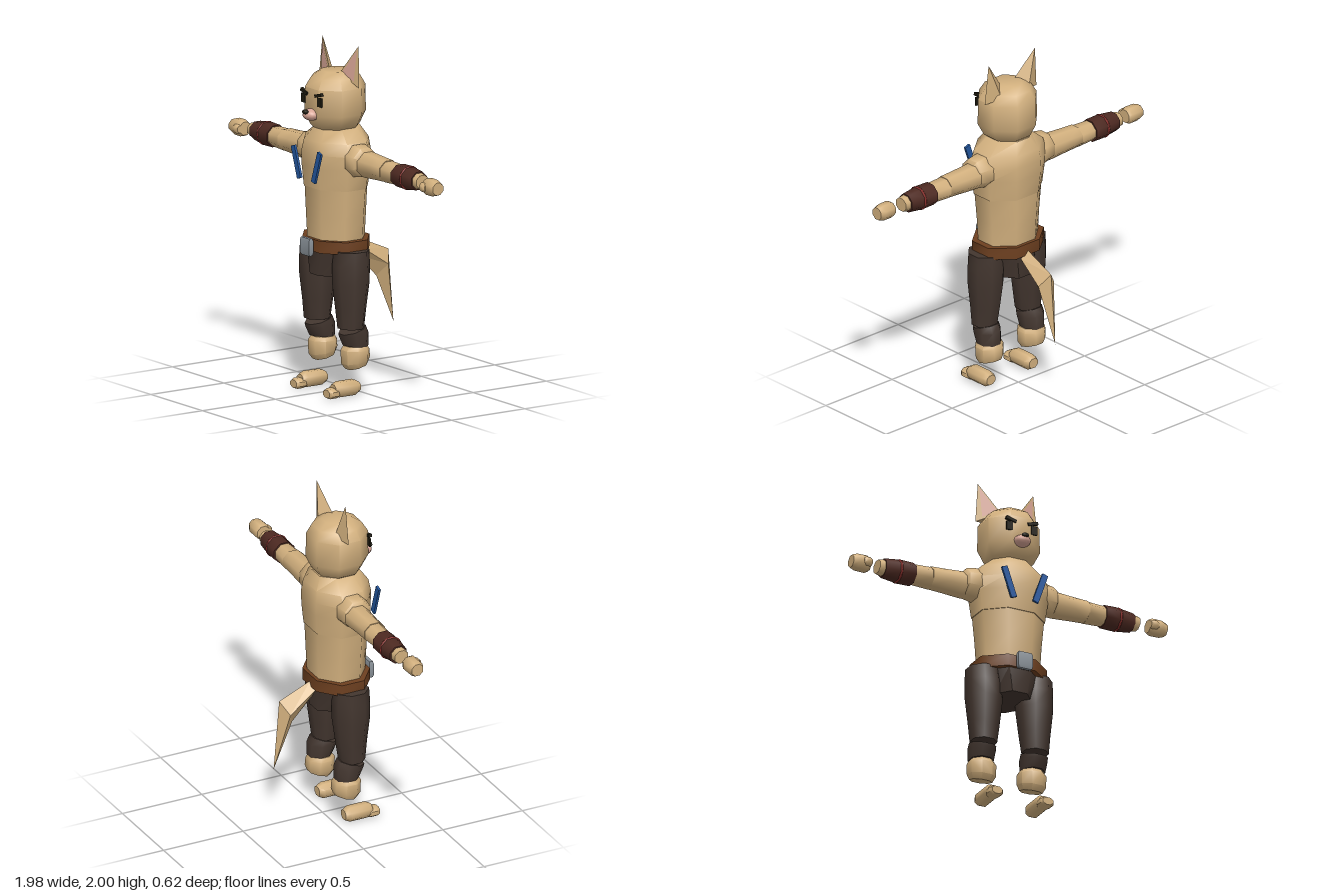
import * as THREE from 'three';
import { toCreasedNormals } from 'three/addons/utils/BufferGeometryUtils.js';

const material = (name, color) => {
  const m = new THREE.MeshStandardMaterial({ color });
  m.name = name;
  return m;
};

// Capped octagonal loft along y; ring = [y, cx, cz, rx, rz, tilt]
function loft(rings, sides = 8) {
  const pos = [], idx = [], k = 1 / Math.cos(Math.PI / sides);
  for (const [y, cx, cz, rx, rz, tilt = 0] of rings) {
    for (let j = 0; j < sides; j++) {
      const a = ((j + 0.5) / sides) * Math.PI * 2;
      const dz = Math.sin(a) * rz * k;
      pos.push(cx + Math.cos(a) * rx * k, y + tilt * dz, cz + dz);
    }
  }
  const top = (rings.length - 1) * sides;
  for (let r = 0; r < top; r += sides) {
    for (let j = 0; j < sides; j++) {
      const n = (j + 1) % sides;
      idx.push(r + j, r + sides + j, r + n, r + n, r + sides + j, r + sides + n);
    }
  }
  for (let j = 1; j < sides - 1; j++) idx.push(0, j, j + 1, top, top + j + 1, top + j);
  const g = new THREE.BufferGeometry();
  g.setAttribute('position', new THREE.Float32BufferAttribute(pos, 3));
  g.setIndex(idx);
  return toCreasedNormals(g, 0.9);
}

// Flat-faced geometry from a list of triangles
function facets(tris) {
  const g = new THREE.BufferGeometry();
  g.setAttribute('position', new THREE.Float32BufferAttribute(tris.flat(2), 3));
  g.computeVertexNormals();
  return g;
}

// Copy reflected in x, with corner order kept outward
function mirrored(geo) {
  const g = geo.index ? geo.toNonIndexed() : geo.clone();
  for (const key of ['position', 'normal']) {
    const a = g.attributes[key], v = [];
    for (let i = 0; i < a.count; i += 3) {
      for (const c of [i, i + 2, i + 1]) v.push(-a.getX(c), a.getY(c), a.getZ(c));
    }
    g.setAttribute(key, new THREE.Float32BufferAttribute(v, 3));
  }
  return g;
}

export function createModel() {
  const model = new THREE.Group();
  model.name = 'foxFigure';
  const fur = material('tan fur', 0xd2b07e);
  const pants = material('dark trousers', 0x43362f);
  const leather = material('brown leather', 0x6e4020);
  const steel = material('grey metal', 0x8a9299);
  const blue = material('blue strap', 0x2458a0);
  const wrap = material('maroon wrap', 0x4e2a22);
  const red = material('red cord', 0x8a302c);
  const pink = material('pink skin', 0xd8a596);
  const black = material('dark features', 0x1e1b10);

  const add = (name, geo, mat) => {
    const m = new THREE.Mesh(geo, mat);
    m.name = name;
    model.add(m);
  };
  const pair = (name, geo, mat) => {
    add(name + 'Left', geo, mat);
    add(name + 'Right', mirrored(geo), mat);
  };

  // Head and trunk
  add('head', loft([
    [1.5, 0, 0.09, 0.095, 0.1], [1.53, 0, 0.09, 0.13, 0.13], [1.6, 0, 0.092, 0.163, 0.163],
    [1.75, 0, 0.092, 0.16, 0.16], [1.805, 0, 0.09, 0.128, 0.13], [1.84, 0, 0.088, 0.075, 0.08],
  ]), fur);
  add('chest', loft([
    [1.18, 0, 0.086, 0.198, 0.162], [1.3, 0, 0.086, 0.215, 0.172], [1.38, 0, 0.086, 0.222, 0.173],
    [1.45, 0, 0.084, 0.2, 0.163], [1.52, 0, 0.08, 0.115, 0.12],
  ]), fur);
  add('abdomen', loft([
    [0.87, 0, 0.086, 0.17, 0.146], [1.02, 0, 0.086, 0.178, 0.153], [1.19, 0, 0.086, 0.194, 0.158],
  ]), fur);
  add('belt', loft([[0.82, 0, 0.087, 0.208, 0.168], [0.89, 0, 0.087, 0.208, 0.168]]), leather);
  add('buckle', loft([
    [0.8, 0, 0.287, 0.04, 0.01], [0.815, 0, 0.287, 0.045, 0.014],
    [0.885, 0, 0.287, 0.045, 0.014], [0.9, 0, 0.287, 0.04, 0.01],
  ], 4).rotateY(0), steel);
  add('pelvis', loft([[0.68, 0, 0.086, 0.115, 0.145], [0.83, 0, 0.086, 0.165, 0.152]]), pants);

  // Muzzle and nose
  add('muzzle', new THREE.SphereGeometry(1, 12, 8).scale(0.05, 0.034, 0.05).translate(0, 1.602, 0.255), pink);
  add('nose', new THREE.SphereGeometry(1, 8, 6).scale(0.023, 0.014, 0.016).translate(0, 1.622, 0.296), black);

  // Eyes and angled brows
  pair('eye', new THREE.BoxGeometry(0.037, 0.052, 0.009).translate(0.077, 1.683, 0.252), black);
  pair('brow', new THREE.BoxGeometry(0.064, 0.018, 0.018).rotateZ(0.28).translate(0.068, 1.722, 0.252), black);

  // Ears with inner faces
  const I = [0.05, 1.83, 0.095], O = [0.195, 1.76, 0.065], B = [0.1, 1.78, 0.025], T = [0.175, 2, 0.055];
  pair('ear', facets([[I, O, T], [O, B, T], [B, I, T], [I, B, O]]), fur);
  const onFace = (i, o, t) => I.map((v, n) => v * i + O[n] * o + T[n] * t + (n === 2 ? 0.004 : 0));
  pair('innerEar', facets([[onFace(0.85, 0.08, 0.07), onFace(0.25, 0.68, 0.07), onFace(0.06, 0.06, 0.88)]]), pink);

  // Chest straps
  pair('strap', new THREE.BoxGeometry(0.036, 0.188, 0.014).rotateZ(-0.33).translate(0.098, 1.317, 0.286), blue);

  // Arms: lofted upward, then laid out sideways
  const limb = (rings, y = 1.345, z = 0.073) =>
    loft(rings.map(([x, r, rz = r]) => [x, 0, 0, r, rz])).rotateZ(-Math.PI / 2).translate(0, y, z);
  pair('shoulder', limb([[0.17, 0.085], [0.215, 0.09], [0.275, 0.08], [0.295, 0.05]], 1.355, 0.08), fur);
  pair('upperArm', limb([[0.2, 0.07], [0.3, 0.07, 0.07], [0.4, 0.064], [0.495, 0.059, 0.064]]), fur);
  pair('forearm', limb([[0.49, 0.058, 0.062], [0.6, 0.054, 0.056], [0.78, 0.045], [0.82, 0.038, 0.042]], 1.342), fur);
  pair('wristWrap', limb([[0.6, 0.061, 0.064], [0.68, 0.063, 0.064], [0.785, 0.051, 0.053]], 1.342, 0.071), wrap);
  pair('cord', new THREE.TorusGeometry(0.062, 0.008, 6, 16).rotateY(Math.PI / 2).translate(0.692, 1.342, 0.071), red);
  pair('hand', limb([[0.88, 0.037], [0.9, 0.046], [0.96, 0.045], [0.99, 0.035]], 1.335, 0.086), fur);
  pair('thumb', limb([[0.88, 0.02], [0.892, 0.026], [0.915, 0.026], [0.93, 0.018]], 1.335, 0.12), fur);

  // Legs
  pair('thigh', loft([
    [0.39, 0.163, 0.1, 0.072, 0.07], [0.5, 0.16, 0.098, 0.083, 0.082], [0.65, 0.159, 0.097, 0.098, 0.1],
    [0.75, 0.159, 0.096, 0.099, 0.101], [0.835, 0.163, 0.095, 0.092, 0.095],
  ]), pants);
  pair('shin', loft([
    [0.285, 0.163, 0.067, 0.067, 0.068, 0.05], [0.35, 0.163, 0.08, 0.072, 0.08, -0.1],
    [0.38, 0.163, 0.092, 0.07, 0.073, -0.28],
  ]), pants);
  pair('ankle', loft([
    [0.168, 0.158, 0.058, 0.06, 0.06, -0.28], [0.2, 0.158, 0.064, 0.076, 0.077, -0.22],
    [0.262, 0.158, 0.068, 0.078, 0.076], [0.285, 0.158, 0.067, 0.066, 0.062],
  ]), fur);

  // Feet: lofted upward, then laid forward
  const paw = (rings, y) =>
    loft(rings.map(([z, rx, ry]) => [z, 0, 0, rx, ry])).rotateX(Math.PI / 2).translate(0.16, y, 0);
  pair('foot', paw([[0.05, 0.032, 0.028], [0.08, 0.044, 0.043], [0.19, 0.044, 0.043], [0.22, 0.032, 0.03]], 0.047), fur);
  pair('toe', paw([[0.195, 0.034, 0.026], [0.21, 0.042, 0.029], [0.25, 0.042, 0.029], [0.265, 0.032, 0.022]], 0.03), fur);

  // Bent tail with diamond sections ending in a point
  const ring = (w, ty, tz, by, bz) => {
    const my = (ty + by) / 2, mz = (tz + bz) / 2;
    return [[0, ty, tz], [w, my, mz], [0, by, bz], [-w, my, mz]];
  };
  const base = ring(0.042, 0.85, -0.075, 0.755, -0.06), bend = ring(0.058, 0.765, -0.272, 0.62, -0.19);
  const tip = [0, 0.345, -0.307], tail = [];
  for (let j = 0; j < 4; j++) {
    const n = (j + 1) % 4;
    tail.push([base[j], base[n], bend[j]], [base[n], bend[n], bend[j]], [bend[j], bend[n], tip]);
  }
  tail.push([base[0], base[2], base[1]], [base[0], base[3], base[2]]);
  add('tail', facets(tail), fur);

  return model;
}
